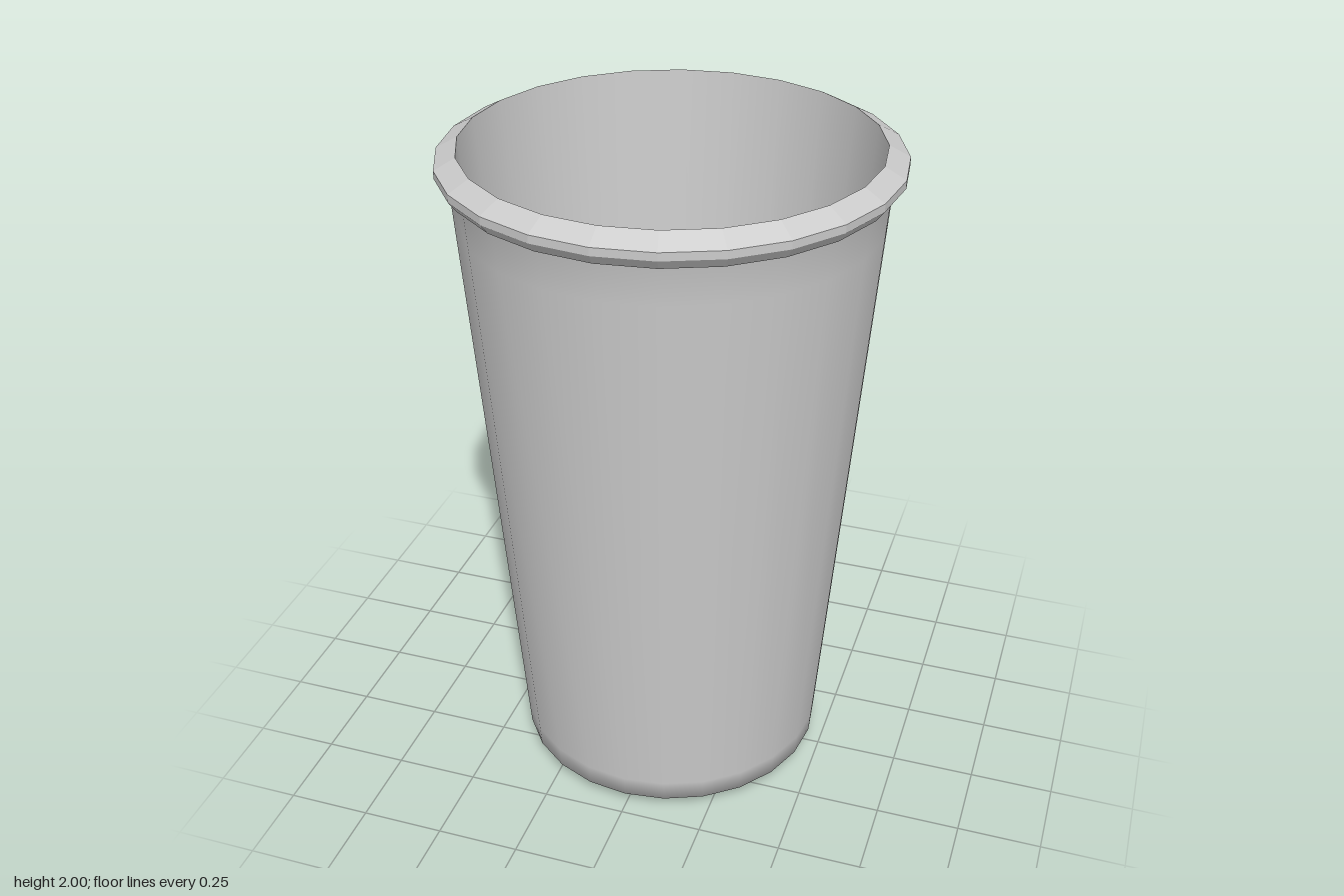
import * as THREE from 'three';

const SIDES = 24;
const smooth = new THREE.MeshStandardMaterial({ color: 0xcccccc, side: THREE.DoubleSide });
const faceted = new THREE.MeshStandardMaterial({ color: 0xcccccc, side: THREE.DoubleSide, flatShading: true });

// Turns a [radius, height] profile around the cup's axis
function turned(name, profile, material) {
  const points = profile.map(([r, y]) => new THREE.Vector2(r, y));
  const mesh = new THREE.Mesh(new THREE.LatheGeometry(points, SIDES), material);
  mesh.name = name;
  return mesh;
}

export function createModel() {
  const cup = new THREE.Group();
  cup.name = 'cup';
  cup.add(
    // Tapered outside, softened where it meets the base and the rim
    turned('outerWall', [[0.42, 0.045], [0.466, 0.045], [0.471, 0.11], [0.599, 1.8], [0.607, 1.91], [0.622, 1.915]], smooth),
    // Rolled lip
    turned('rim', [[0.607, 1.91], [0.622, 1.915], [0.645, 1.945], [0.645, 1.968], [0.585, 2]], faceted),
    // Tapered inside
    turned('innerWall', [[0.585, 2], [0.452, 0.065]], smooth),
    // Ledge and groove around the inside of the base
    turned('innerLedge', [[0.452, 0.065], [0.422, 0.06], [0.408, 0.016], [0.387, 0.016]], faceted),
    // Raised floor, shaded softly towards its edge
    turned('floor', [[0.387, 0.016], [0.377, 0.06], [0, 0.06]], smooth),
    // Recessed underside
    turned('underside', [[0, 0.045], [0.372, 0.045], [0.385, 0]], smooth),
    // Foot ring the cup stands on
    turned('footRing', [[0.385, 0], [0.408, 0], [0.42, 0.045]], faceted),
  );
  return cup;
}
